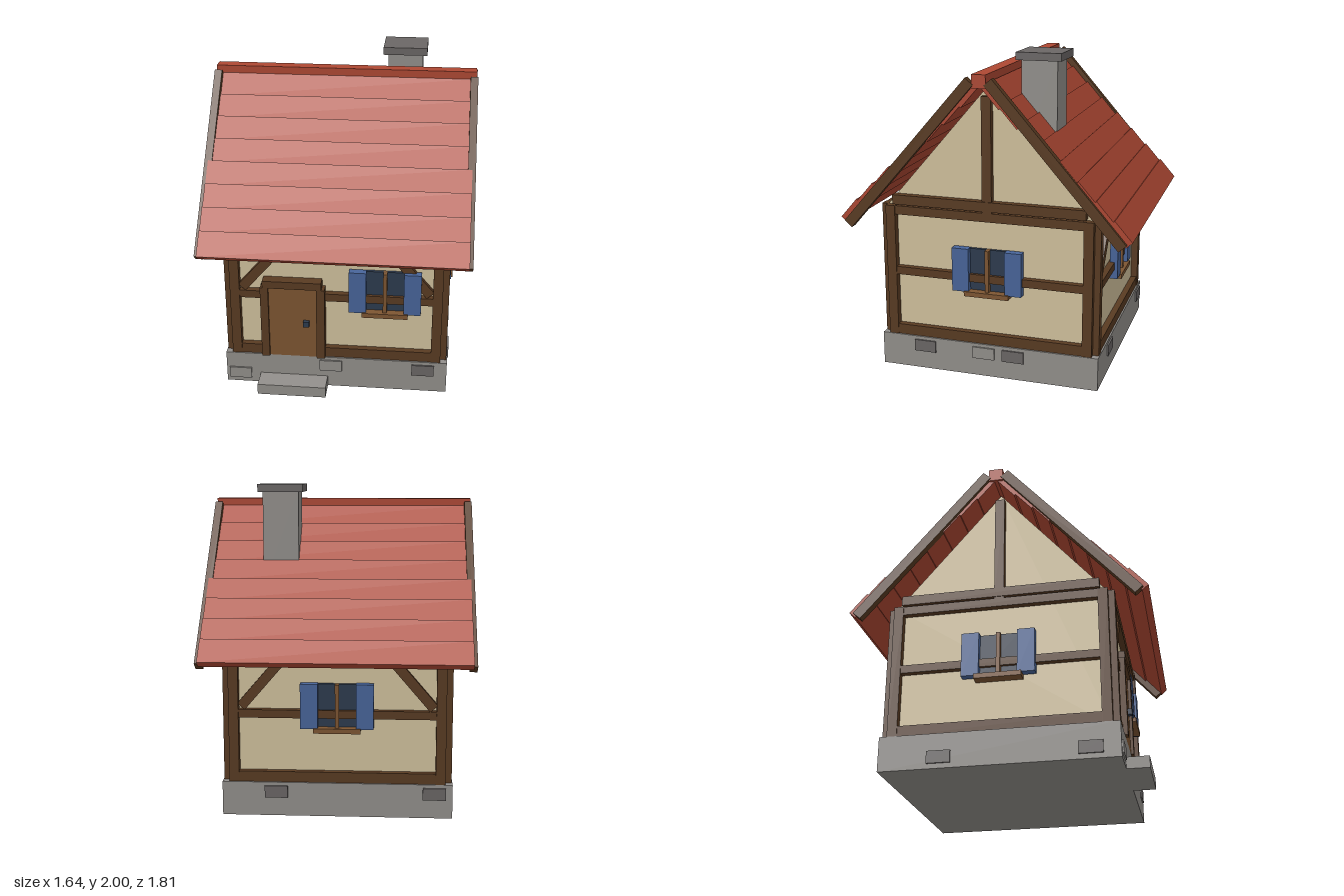
import * as THREE from 'three';

const mat = (name, color) => Object.assign(new THREE.MeshStandardMaterial({ color }), { name });

export function createModel() {
  const M = {
    plaster: mat('plaster', 0xd2c29e),
    timber: mat('dark timber', 0x593b22),
    wood: mat('light wood', 0x7e5632),
    tile: mat('roof tile', 0xae4833),
    stone: mat('stone', 0x93908c),
    darkStone: mat('dark stone', 0x6b6766),
    shutter: mat('blue paint', 0x48659a),
    glass: mat('dark glass', 0x2d3b4e),
  };
  const house = new THREE.Group();
  house.name = 'house';

  // Box given by its extents on each axis
  const box = (parent, name, material, [x0, x1], [y0, y1], [z0, z1]) => {
    const m = new THREE.Mesh(new THREE.BoxGeometry(x1 - x0, y1 - y0, z1 - z0), material);
    m.position.set((x0 + x1) / 2, (y0 + y1) / 2, (z0 + z1) / 2);
    m.name = name;
    parent.add(m);
    return m;
  };

  // Foundation and doorstep
  box(house, 'foundation', M.stone, [-0.7, 0.7], [0, 0.21], [-0.7, 0.7]);
  box(house, 'doorstep', M.stone, [-0.48, -0.05], [0, 0.07], [0.69, 0.835]);

  // Plastered body with gables, extruded along x
  const profile = new THREE.Shape([[-0.65, 0.2], [0.65, 0.2], [0.65, 1.06], [0, 1.815], [-0.65, 1.06]]
    .map(([x, y]) => new THREE.Vector2(x, y)));
  const body = new THREE.Mesh(
    new THREE.ExtrudeGeometry(profile, { depth: 1.3, bevelEnabled: false }).translate(0, 0, -0.65), M.plaster);
  body.rotation.y = Math.PI / 2;
  body.name = 'plasterWalls';
  house.add(body);

  // Window with sill, mullion and shutters, centred on x
  const addWindow = (side, x) => {
    const w = new THREE.Group();
    w.name = 'window';
    w.position.x = x;
    box(w, 'glass', M.glass, [-0.118, 0.118], [0.55, 0.82], [0.645, 0.67]);
    box(w, 'mullion', M.wood, [-0.012, 0.012], [0.55, 0.82], [0.65, 0.703]);
    box(w, 'sill', M.wood, [-0.142, 0.142], [0.525, 0.555], [0.645, 0.722]);
    for (const s of [-1, 1]) {
      const c = s * 0.168;
      box(w, 'shutter', M.shutter, [c - 0.053, c + 0.053], [0.55, 0.825], [0.66, 0.71]);
    }
    side.add(w);
  };

  // Timber frame, window and foundation stones of each side; local z points outward
  const Z = [0.64, 0.695];
  const sides = [
    { name: 'front', turn: 0, window: 0.305, stones: [[-0.03, 1, 0], [0.55, 1, 1], [-0.61, 0, 0]] },
    { name: 'right', turn: Math.PI / 2, window: 0, gable: true, stones: [[-0.412, 1, 1], [-0.025, 1, 0], [0.165, 1, 1]] },
    { name: 'back', turn: Math.PI, window: 0, stones: [[-0.37, 1, 1], [0.59, 1, 1]] },
    { name: 'left', turn: -Math.PI / 2, window: 0, gable: true, stones: [[-0.34, 0, 1], [0.53, 0, 1]] },
  ];
  for (const s of sides) {
    const g = new THREE.Group();
    g.name = s.name + 'Side';
    g.rotation.y = s.turn;
    house.add(g);
    for (const [y0, y1] of [[0.21, 0.275], [0.61, 0.66], [1.0, 1.055]])
      box(g, 'beam', M.timber, [-0.6, 0.6], [y0, y1], [0.64, 0.69]);
    for (const d of [-1, 1])
      box(g, 'cornerPost', M.timber, [d * 0.627 - 0.03, d * 0.627 + 0.03], [0.21, 1.055], Z);
    if (s.gable) {
      box(g, 'gableBeam', M.timber, [-0.61, 0.61], [1.065, 1.125], Z);
      box(g, 'gablePost', M.timber, [-0.03, 0.03], [1.055, 1.76], [0.64, 0.69]);
    } else {
      // Slanted braces below the eaves
      for (const d of [-1, 1]) {
        const b = box(g, 'brace', M.timber, [-0.21, 0.21], [-0.03, 0.03], [0.64, 0.682]);
        b.position.x = d * 0.445;
        b.position.y = 0.835;
        b.rotation.z = -d * 0.86;
      }
    }
    for (const [x, high, dark] of s.stones) {
      const y = high ? 0.115 : 0.03;
      box(g, 'foundationStone', dark ? M.darkStone : M.stone, [x - 0.07, x + 0.07], [y, y + 0.074], [0.69, 0.71]);
    }
    addWindow(g, s.window);
  }

  // Door
  const door = new THREE.Group();
  door.name = 'door';
  box(door, 'doorPanel', M.wood, [-0.42, -0.11], [0.21, 0.705], [0.645, 0.7]);
  box(door, 'doorPost', M.timber, [-0.465, -0.415], [0.21, 0.697], [0.645, 0.718]);
  box(door, 'doorPost', M.timber, [-0.117, -0.065], [0.21, 0.697], [0.645, 0.718]);
  box(door, 'doorLintel', M.timber, [-0.45, -0.085], [0.697, 0.745], [0.645, 0.72]);
  box(door, 'doorHandle', M.glass, [-0.198, -0.162], [0.437, 0.473], [0.69, 0.727]);
  house.add(door);

  // Roof: rows of tilted planks and rake boards on both slopes
  const pitch = 0.852, c = Math.cos(pitch), sn = Math.sin(pitch);
  const len = 0.16, thick = 0.05, rows = 8;
  for (const d of [1, -1]) {
    const slope = new THREE.Group();
    slope.name = d > 0 ? 'frontRoof' : 'backRoof';
    slope.rotation.y = d > 0 ? 0 : Math.PI;
    house.add(slope);
    for (let k = 0; k < rows; k++) {
      const t = box(slope, 'tileRow', M.tile, [-0.8, 0.8], [-thick / 2, thick / 2], [-len / 2, len / 2]);
      // Placed from the outer lower edge of the row
      const z = 0.905 - 0.1075 * k, y = 0.99 + 0.107 * k;
      t.position.set(0, y + sn * len / 2 - c * thick / 2, z - c * len / 2 - sn * thick / 2);
      t.rotation.x = pitch;
    }
    for (const e of [-1, 1]) {
      const r = box(slope, 'rakeBoard', M.timber, [e * 0.798 - 0.023, e * 0.798 + 0.023], [-0.031, 0.031], [-0.604, 0.604]);
      r.position.y = 1.91 - 0.5;
      r.position.z = 0.453;
      r.rotation.x = pitch;
    }
  }
  box(house, 'ridge', M.tile, [-0.815, 0.815], [1.825, 1.905], [-0.043, 0.043]);

  // Chimney
  box(house, 'chimney', M.stone, [0.255, 0.475], [1.38, 1.96], [-0.373, -0.153]);
  box(house, 'chimneyCap', M.darkStone, [0.225, 0.503], [1.953, 2.0], [-0.403, -0.125]);

  return house;
}
